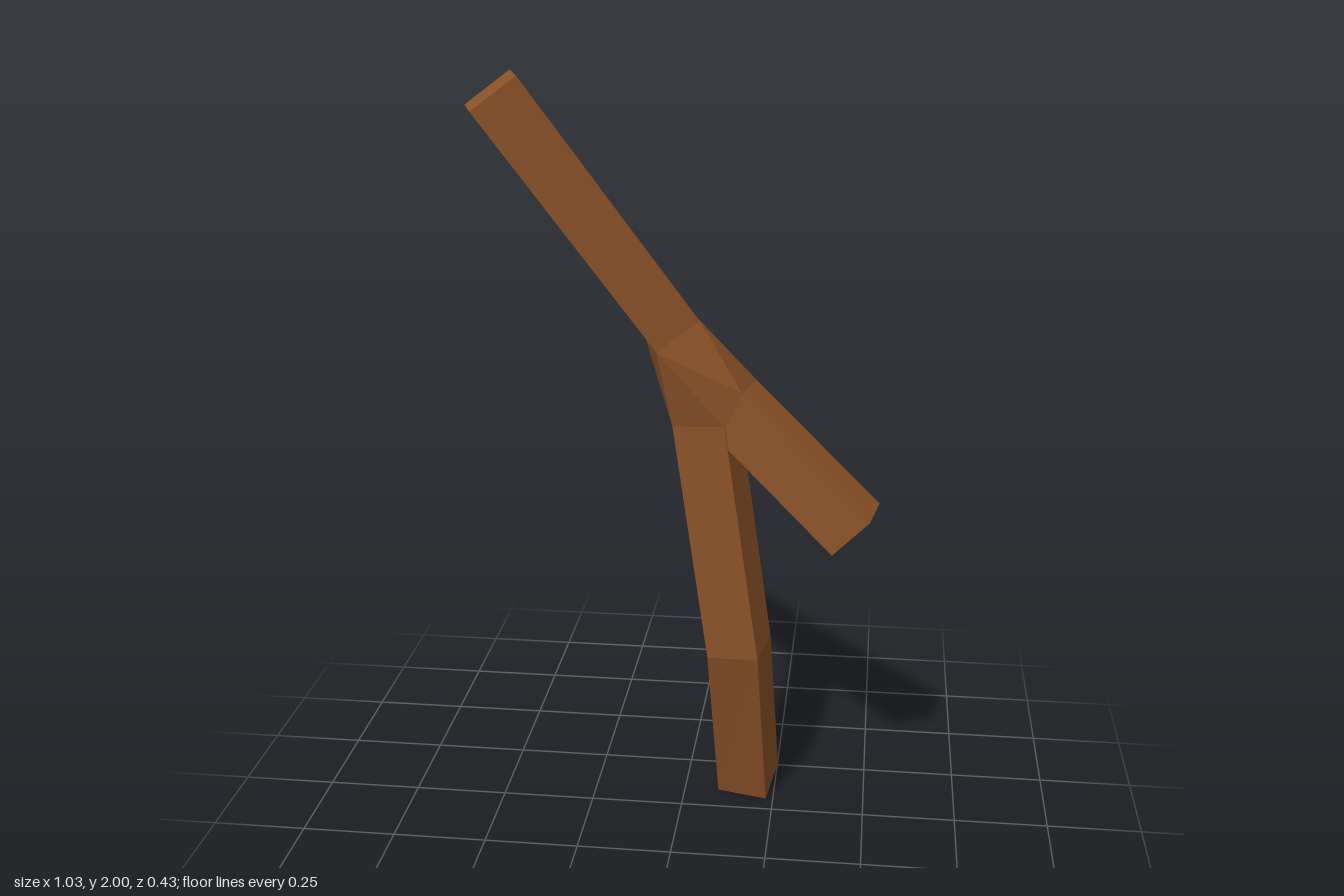
import * as THREE from 'three';
import { ConvexGeometry } from 'three/addons/geometries/ConvexGeometry.js';

const bark = new THREE.MeshStandardMaterial({ color: 0x8b5228, flatShading: true });

// Four-sided limb skinned through square rings, from the fork out to a capped end.
function limbGeometry(rings) {
  const out = [];
  const quad = (a, b, c, d) => out.push(...a, ...b, ...c, ...a, ...c, ...d);
  for (let r = 0; r < rings.length - 1; r++) {
    const [from, to] = [rings[r], rings[r + 1]];
    for (let i = 0; i < 4; i++) {
      const j = (i + 1) % 4;
      quad(from[i], from[j], to[j], to[i]);
    }
  }
  quad(...rings[rings.length - 1]);
  const geometry = new THREE.BufferGeometry();
  geometry.setAttribute('position', new THREE.Float32BufferAttribute(out, 3));
  geometry.computeVertexNormals();
  return geometry;
}

// Ring corners run counter-clockwise seen from the limb's free end.
const limbs = {
  trunk: [
    [[-0.02, 1.11, 0.03], [0.01, 1.13, -0.113], [0.14, 1.13, -0.09], [0.115, 1.12, 0.05]],
    [[0.075, 0.475, 0.05], [0.1, 0.49, -0.085], [0.235, 0.5, -0.06], [0.21, 0.485, 0.072]],
    [[0.095, 0.005, -0.08], [0.12, 0.04, -0.215], [0.255, 0.038, -0.19], [0.23, 0, -0.055]],
  ],
  upperBranch: [
    [[0.05, 1.39, 0.035], [0.007, 1.39, -0.095], [-0.1, 1.315, -0.06], [-0.055, 1.315, 0.07]],
    [[-0.367, 2, 0.175], [-0.41, 2, 0.047], [-0.515, 1.92, 0.083], [-0.472, 1.92, 0.212]],
  ],
  sideBranch: [
    [[0.185, 1.21, -0.08], [0.16, 1.21, 0.05], [0.065, 1.115, 0.038], [0.09, 1.115, -0.095]],
    [[0.513, 0.905, -0.022], [0.49, 0.9, 0.112], [0.397, 0.803, 0.1], [0.42, 0.803, -0.033]],
  ],
};

export function createModel() {
  const model = new THREE.Group();
  model.name = 'forkedStick';
  const add = (name, geometry) => {
    const mesh = new THREE.Mesh(geometry, bark);
    mesh.name = name;
    model.add(mesh);
  };

  for (const [name, rings] of Object.entries(limbs)) add(name, limbGeometry(rings));

  // Faceted fork joining the inner rings of all three limbs
  const corners = Object.values(limbs).flatMap((rings) => rings[0]);
  add('fork', new ConvexGeometry(corners.map((p) => new THREE.Vector3(...p))));

  return model;
}
